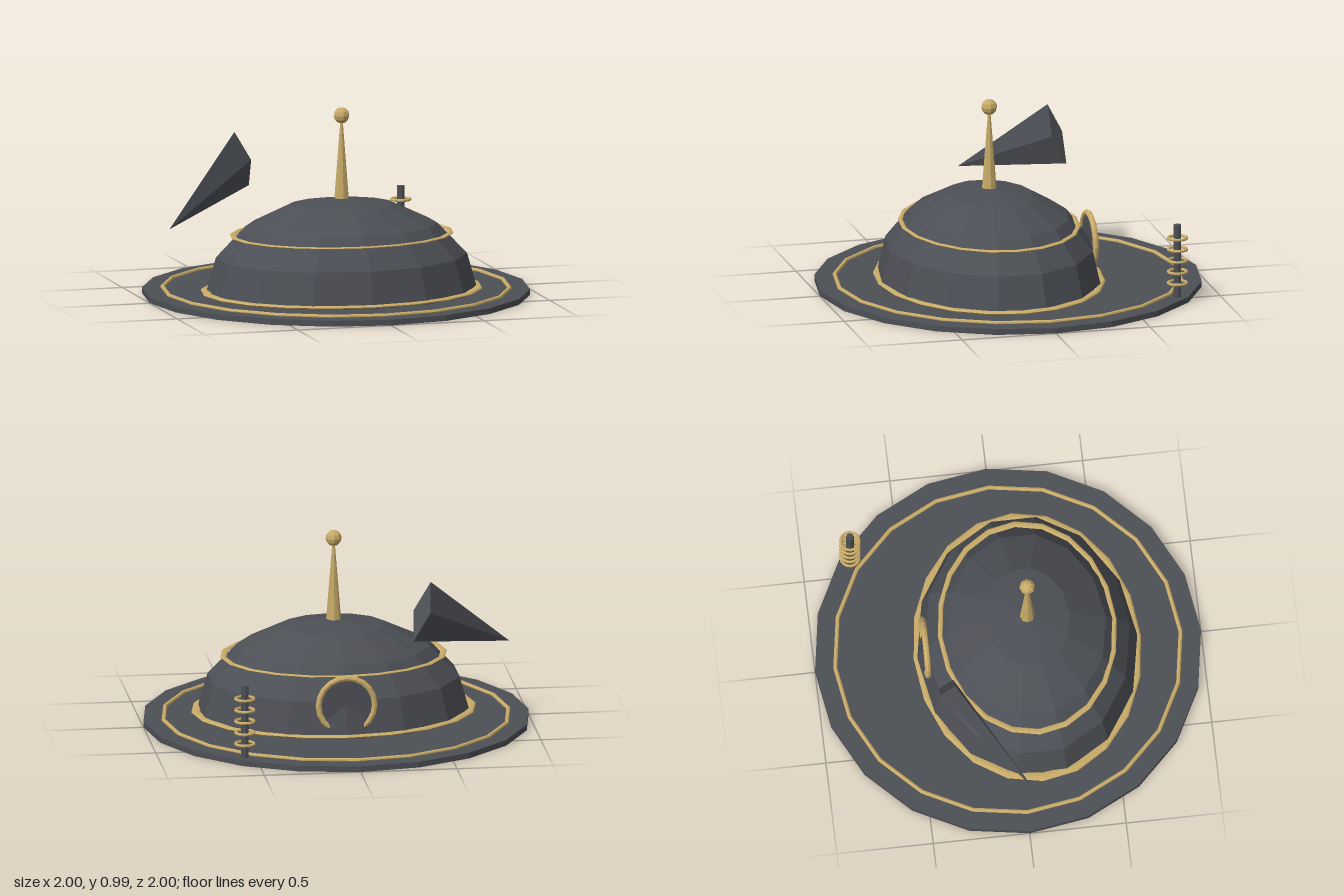
import * as THREE from 'three';

export function createModel() {
  const model = new THREE.Group();
  const slate = new THREE.MeshStandardMaterial({ color: 0x4c4f55, flatShading: true });
  slate.name = 'dark slate';
  const gold = new THREE.MeshStandardMaterial({ color: 0xc8ab68, flatShading: true });
  gold.name = 'pale gold';

  function add(name, geometry, material, x = 0, y = 0, z = 0, parent = model) {
    const mesh = new THREE.Mesh(geometry, material);
    mesh.name = name;
    mesh.position.set(x, y, z);
    parent.add(mesh);
    return mesh;
  }

  // Horizontal ring, optionally elliptical and flattened
  function ring(rx, rz, tube, height, sides = 20) {
    return new THREE.TorusGeometry(rx, tube, 8, sides)
      .rotateX(Math.PI / 2)
      .scale(1, height / (2 * tube), rz / rx);
  }

  const domeZ = 0.1;

  // Base plate with its rim trim
  add('basePlate', new THREE.CylinderGeometry(1, 1, 0.03, 20), slate, 0, 0.015, 0);
  add('baseTrim', ring(0.895, 0.895, 0.011, 0.022), gold, 0, 0.034, 0);

  // Oval faceted dome
  const profile = [];
  for (let i = 0; i <= 4; i++) {
    const a = (i / 4) * Math.PI / 2;
    profile.push(new THREE.Vector2(i === 4 ? 0 : Math.cos(a), Math.sin(a)));
  }
  const dome = new THREE.LatheGeometry(profile, 14).scale(0.71, 0.495, 0.575);
  add('dome', dome, slate, 0, 0.03, domeZ);

  // Dome bands
  add('domeFootBand', ring(0.715, 0.57, 0.024, 0.018), gold, 0, 0.043, domeZ);
  add('domeMiddleBand', ring(0.572, 0.45, 0.016, 0.012), gold, 0, 0.332, domeZ);

  // Spire and finial
  add('spire', new THREE.CylinderGeometry(0.006, 0.04, 0.43, 8), gold, 0, 0.715, domeZ);
  add('finial', new THREE.SphereGeometry(0.042, 8, 6), gold, 0, 0.95, domeZ);

  // Round portal at the back
  add('portalFrame', new THREE.TorusGeometry(0.145, 0.016, 8, 20), gold, 0, 0.2, -0.43);
  add('portalDoor', new THREE.CylinderGeometry(0.14, 0.14, 0.008, 20).rotateX(Math.PI / 2),
    slate, 0, 0.2, -0.43);

  // Ringed mast at the plate's edge
  const mast = new THREE.Group();
  mast.name = 'mast';
  mast.position.set(0.57, 0, -0.755);
  model.add(mast);
  add('mastPost', new THREE.CylinderGeometry(0.02, 0.02, 0.39, 8), slate, 0, 0.22, 0, mast);
  for (let i = 0; i < 5; i++) {
    add('mastRing', ring(0.048, 0.048, 0.008, 0.016, 16), gold, 0, 0.104 + i * 0.06, 0, mast);
  }

  // Floating shard: a long pyramid on a rhombus end
  const tip = [-0.905, 0.387, 0.035];
  const end = [[-0.45, 0.815, -0.325], [-0.36, 0.665, -0.325], [-0.35, 0.52, -0.4], [-0.44, 0.67, -0.4]];
  const corners = [];
  for (let i = 0; i < 4; i++) corners.push(...tip, ...end[(i + 1) % 4], ...end[i]);
  for (const i of [0, 1, 2, 0, 2, 3]) corners.push(...end[i]);
  const shard = new THREE.BufferGeometry();
  shard.setAttribute('position', new THREE.Float32BufferAttribute(corners, 3));
  shard.computeVertexNormals();
  add('floatingShard', shard, slate);

  return model;
}
